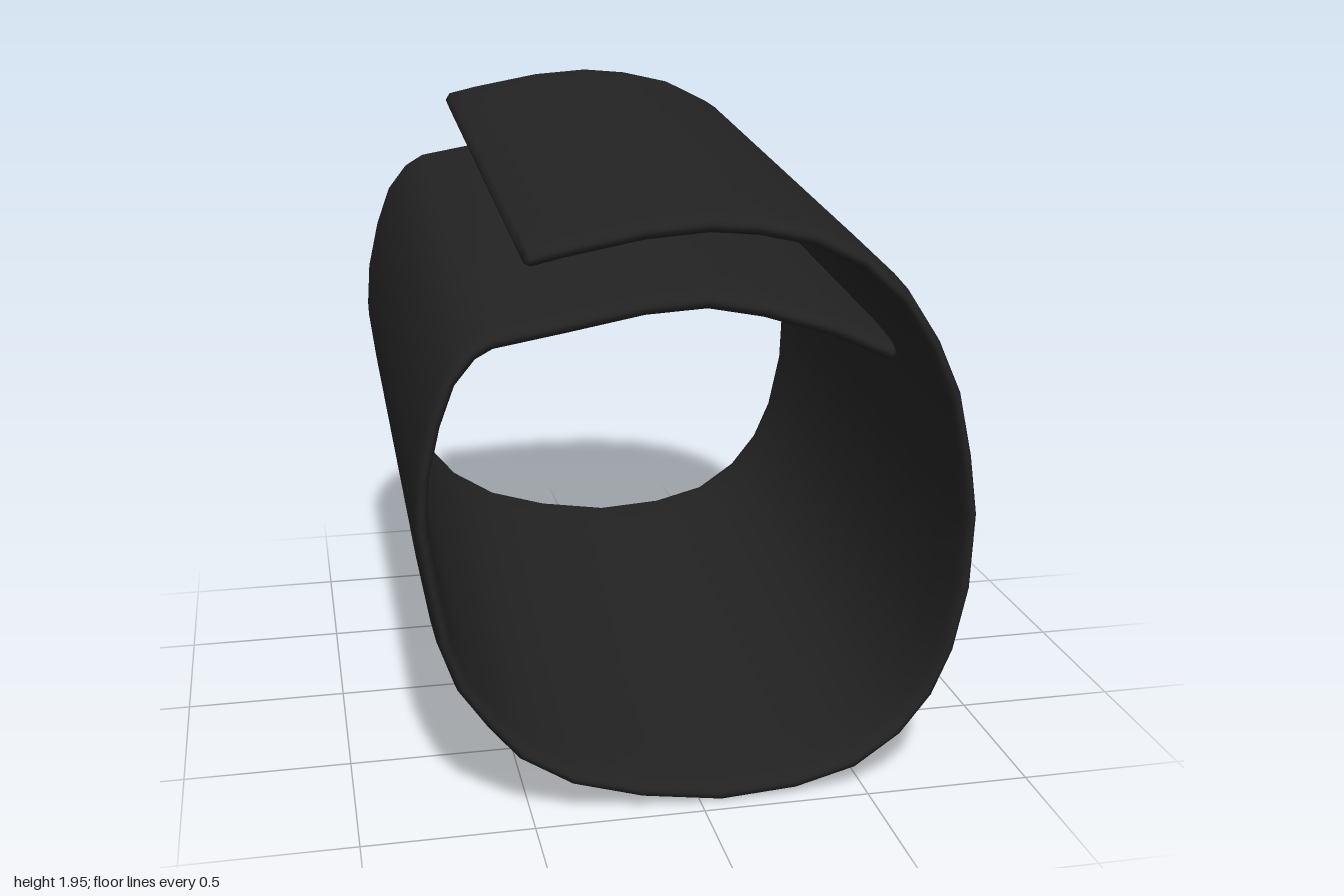
import * as THREE from 'three';

// Outer line of the rolled band at mid length, from the upper flap end round to the tucked-in end
const PATH = [
  [-0.515, 1.785], [-0.495, 1.795], [-0.4, 1.817], [-0.18, 1.857], [0, 1.87], [0.14, 1.857], [0.3, 1.82],
  [0.45, 1.745], [0.58, 1.625], [0.675, 1.48], [0.745, 1.325], [0.79, 1.13], [0.817, 0.95],
  [0.81, 0.72], [0.77, 0.52], [0.71, 0.375], [0.615, 0.25], [0.475, 0.15], [0.29, 0.1],
  [0.06, 0.085], [-0.18, 0.122], [-0.385, 0.185], [-0.54, 0.285], [-0.63, 0.395], [-0.715, 0.52],
  [-0.765, 0.665], [-0.8, 0.87], [-0.82, 1.03], [-0.81, 1.17], [-0.775, 1.325], [-0.73, 1.45],
  [-0.665, 1.535], [-0.6, 1.575], [-0.4, 1.61], [-0.18, 1.65], [0, 1.66], [0.165, 1.627],
  [0.37, 1.56], [0.535, 1.482], [0.553, 1.472],
];

// Band cross-section: s along the length, t through the thickness (0 outside, 1 inside)
const HALF = [[0.82, 0], [0.95, 0.1], [0.98, 0.18], [0.995, 0.3], [1, 0.45]];
const mirrorS = ([s, t]) => [-s, t];
const outer = [...HALF.map(mirrorS).reverse(), ...HALF];
const SECTION = [...outer, ...outer.map(([s, t]) => [s, 1 - t]).reverse()];

function bandGeometry() {
  const pos = [], index = [];
  const n = PATH.length, m = SECTION.length;
  const put = (i, s, t) => {
    const [ax, ay] = PATH[Math.max(i - 1, 0)], [bx, by] = PATH[Math.min(i + 1, n - 1)];
    const len = Math.hypot(bx - ax, by - ay);
    const x = PATH[i][0] + (by - ay) / len * 0.05 * t;
    const y = PATH[i][1] - (bx - ax) / len * 0.07 * t;
    const z = 0.98 * s + 0.022 * (y - 0.95);
    pos.push(x, y - 0.097 * z, z); // the whole roll rises towards the back
  };
  for (let i = 0; i < n; i++) {
    const end = i === 0 || i === n - 1; // rounded flap ends
    for (const [s, t] of SECTION) {
      if (end) put(i, s * 0.985, 0.5 + (t - 0.5) * 0.5);
      else put(i, s, t);
    }
  }
  for (let i = 0; i < n - 1; i++) {
    for (let j = 0; j < m; j++) {
      const k = (j + 1) % m;
      const a = i * m + j, b = i * m + k, c = a + m, d = b + m;
      index.push(a, b, c, b, d, c);
    }
  }
  // Close both flap ends
  put(0, 0, 0.5);
  put(n - 1, 0, 0.5);
  for (let j = 0; j < m; j++) {
    const k = (j + 1) % m, last = (n - 1) * m;
    index.push(n * m, k, j, n * m + 1, last + j, last + k);
  }
  const g = new THREE.BufferGeometry();
  g.setAttribute('position', new THREE.Float32BufferAttribute(pos, 3));
  g.setIndex(index);
  g.computeVertexNormals();
  return g;
}

export function createModel() {
  const group = new THREE.Group();
  group.name = 'rolledBand';
  const black = new THREE.MeshStandardMaterial({ color: 0x222222 });
  black.name = 'soft black';
  const band = new THREE.Mesh(bandGeometry(), black);
  band.name = 'wrappedSleeve';
  group.add(band);
  return group;
}
